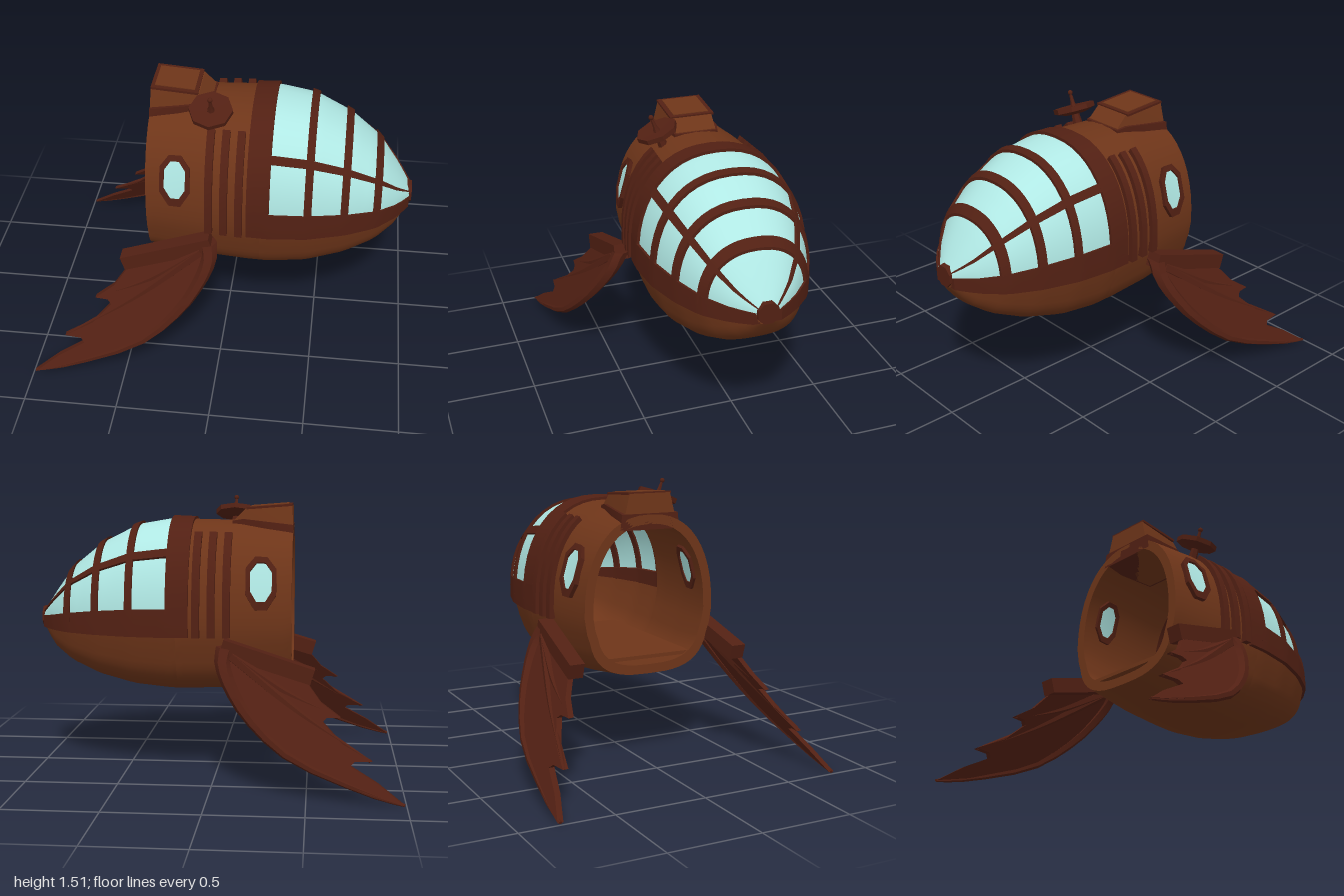
import * as THREE from 'three';
import { toCreasedNormals } from 'three/addons/utils/BufferGeometryUtils.js';

const mat = (color) => new THREE.MeshStandardMaterial({ color, side: THREE.DoubleSide });
const HULL = mat(0x6e3519), DARK = mat(0x522013), GLASS = mat(0xb0e8e4);

// Hull stations along its length: x, top, bottom, half width
const STATIONS = [
  [-0.41, 1.36, 0.51, 0.38], [-0.12, 1.385, 0.47, 0.41], [0.13, 1.39, 0.46, 0.43],
  [0.25, 1.395, 0.46, 0.435], [0.45, 1.36, 0.48, 0.415], [0.65, 1.26, 0.53, 0.355],
  [0.81, 1.13, 0.6, 0.275], [0.92, 0.98, 0.68, 0.165], [0.985, 0.88, 0.78, 0.06],
];
const MID = 0.84; // height of the hull's seam

function station(x) {
  let i = 0;
  while (i < STATIONS.length - 2 && x > STATIONS[i + 1][0]) i++;
  const a = STATIONS[i], b = STATIONS[i + 1];
  const k = THREE.MathUtils.clamp((x - a[0]) / (b[0] - a[0]), 0, 1);
  return a.map((v, j) => v + (b[j] - v) * k);
}

// Point on the hull at length x, angle t (0 = left side, PI/2 = top), raised by d
function hullPoint(x, t, d) {
  const [, top, bottom, w] = station(x);
  const c = Math.cos(t), s = Math.sin(t), W = w + d;
  const pow = (v, e) => Math.sign(v) * Math.abs(v) ** e;
  if (t < 0) return [x, MID + t * 0.6, W]; // straight skirt below the seam
  if (t <= Math.PI) return [x, MID + (top + d - MID) * pow(s, 0.87), W * pow(c, 0.87)];
  const tuck = 1 - 0.06 * Math.min(1, -s * 4);
  return [x, MID - (MID - bottom + d) * pow(-s, 0.667), W * tuck * pow(c, 0.667)];
}

// Move every vertex of a geometry by a rule
function warp(geo, rule, crease = 0.5) {
  const p = geo.attributes.position;
  for (let i = 0; i < p.count; i++) p.setXYZ(i, ...rule(p.getX(i), p.getY(i), p.getZ(i)));
  return toCreasedNormals(geo, crease);
}

function add(parent, name, geo, material) {
  const mesh = new THREE.Mesh(geo, material);
  mesh.name = name;
  parent.add(mesh);
  return mesh;
}

// Curved slab lying on the hull
function slab(x0, x1, t0, t1, inner, outer) {
  const nx = Math.max(1, Math.round((x1 - x0) / 0.04));
  const nt = Math.max(1, Math.round((t1 - t0) / 0.13));
  return warp(new THREE.BoxGeometry(1, 1, 1, nx, nt, 1), (x, y, z) => hullPoint(
    x0 + (x + 0.5) * (x1 - x0), t0 + (y + 0.5) * (t1 - t0), inner + (z + 0.5) * (outer - inner)));
}

const octagon = (C, w, h) => new C(
  [[0.4, 1], [1, 0.5], [1, -0.5], [0.4, -1], [-0.4, -1], [-1, -0.5], [-1, 0.5], [-0.4, 1]]
    .map(([x, y]) => new THREE.Vector2(-0.25 + x * w, 0.4 + y * h)));

// Porthole pieces laid on the hull
function porthole(shape, inner, outer) {
  const geo = new THREE.ExtrudeGeometry(shape, { depth: outer - inner, bevelEnabled: false });
  return warp(geo, (x, t, z) => hullPoint(x, t, inner + z));
}

// The wing lies in one sloping plane
const wingZ = (x, y) => 0.912 - 0.613 * y + 0.121 * x;
const v2 = (pts) => pts.map(([x, y]) => new THREE.Vector2(x, y));

// Tapered rod along a path in the wing plane
function rod(pts, r0, r1, sides = 6) {
  const curve = new THREE.SplineCurve(v2(pts));
  const n = pts.length > 2 ? 14 : 1;
  const geo = new THREE.CylinderGeometry(r1, r0, 1, sides, n, false, Math.PI / sides);
  return warp(geo, (x, y, z) => {
    const u = THREE.MathUtils.clamp(y + 0.5, 0, 1);
    const p = curve.getPoint(u), t = curve.getTangent(u);
    return [p.x + t.y * x, p.y - t.x * x, wingZ(p.x, p.y) + z];
  });
}

function buildWing() {
  const wing = new THREE.Group();
  wing.name = 'wing';
  const lead = [[-0.07, 0.74], [-0.06, 0.66], [-0.11, 0.54], [-0.22, 0.39], [-0.43, 0.22], [-0.8, 0.07], [-0.99, 0.015]];
  const trail = [[-0.86, 0.11], [-0.72, 0.19], [-0.74, 0.21], [-0.83, 0.21], [-0.68, 0.29], [-0.58, 0.39],
    [-0.6, 0.41], [-0.67, 0.41], [-0.57, 0.48], [-0.5, 0.57], [-0.52, 0.62], [-0.12, 0.76]];
  const skin = new THREE.ExtrudeGeometry(new THREE.Shape(v2([...lead, ...trail])), { depth: 0.03, bevelEnabled: false });
  add(wing, 'wingMembrane', warp(skin, (x, y, z) => [x, y, wingZ(x, y) + z - 0.015]), DARK);
  add(wing, 'wingLeadingSpar', rod(lead, 0.05, 0.008), DARK);
  add(wing, 'wingArm', rod([[-0.05, 0.745], [-0.525, 0.6]], 0.06, 0.058, 4), DARK);
  for (const tip of [[-0.66, 0.408], [-0.82, 0.208]])
    add(wing, 'wingFinger', rod([[-0.1, 0.7], [(tip[0] - 0.1) / 2, (tip[1] + 0.7) / 2 - 0.025], tip], 0.035, 0.007), DARK);
  return wing;
}

// Everything that appears on both sides
function buildSide(name) {
  const side = new THREE.Group();
  side.name = name;
  add(side, 'canopySill', slab(0.13, 0.985, -0.09, 0.13, -0.03, 0.015), DARK);
  add(side, 'canopyRail', slab(0.24, 0.985, 0.65, 0.75, -0.02, 0.015), DARK);
  for (const x of [-0.07, 0.01, 0.09])
    add(side, 'hullRib', slab(x - 0.02, x + 0.02, -0.09, 1.0, -0.02, 0.025), DARK);
  const frame = octagon(THREE.Shape, 0.08, 0.27);
  frame.holes.push(octagon(THREE.Path, 0.057, 0.2));
  add(side, 'portholeFrame', porthole(frame, -0.065, 0.022), DARK);
  add(side, 'portholeGlass', porthole(octagon(THREE.Shape, 0.058, 0.205), -0.058, 0.012), GLASS);
  side.add(buildWing());
  return side;
}

// Raised hatch on the roof, narrowing upward and forward
function buildHatch(parent) {
  const body = new THREE.Shape(v2([[-0.41, 1.28], [-0.09, 1.28], [-0.09, 1.39], [-0.15, 1.45], [-0.405, 1.47]]));
  const rim = new THREE.Shape(v2([[-0.41, 1.28], [-0.08, 1.28], [-0.08, 1.385], [-0.14, 1.395], [-0.41, 1.365]]));
  const shaped = (shape, grow) => warp(
    new THREE.ExtrudeGeometry(shape, { depth: 2, bevelEnabled: false }).translate(0, 0, -1), (x, y, z) => {
      const half = 0.165 - Math.max(0, y - 1.33) * 0.33 - Math.max(0, x + 0.2) * 0.3;
      return [x, y, z * (half + grow)];
    });
  add(parent, 'hatchBody', shaped(body, 0), HULL);
  add(parent, 'hatchCollar', shaped(rim, 0.01), DARK);
  const lid = new THREE.BoxGeometry(0.25, 0.012, 0.25);
  lid.rotateZ(-0.078).translate(-0.28, 1.462, 0);
  add(parent, 'hatchLid', lid, DARK);
  const panel = new THREE.BoxGeometry(0.21, 0.012, 0.2);
  panel.rotateZ(-0.078).translate(-0.28, 1.466, 0);
  add(parent, 'hatchPanel', panel, HULL);
}

// Tilted dish with a small antenna
function buildDish() {
  const dish = new THREE.Group();
  dish.name = 'dish';
  const lathe = (pts, sides) => toCreasedNormals(new THREE.LatheGeometry(v2(pts), sides), 0.4);
  add(dish, 'dishBowl', lathe([[0, -0.03], [0.06, -0.03], [0.115, -0.012], [0.115, 0.015], [0.1, 0.015], [0, 0]], 8), DARK);
  add(dish, 'dishStem', lathe([[0.03, -0.12], [0.02, -0.02]], 6), DARK);
  add(dish, 'antenna', lathe([[0.022, 0], [0.012, 0.03], [0.007, 0.085], [0, 0.085]], 6), DARK);
  add(dish, 'antennaTip', new THREE.SphereGeometry(0.014, 8, 6).translate(0, 0.088, 0), DARK);
  dish.position.set(-0.075, 1.42, 0.225);
  dish.rotation.x = 0.37;
  return dish;
}

export function createModel() {
  const model = new THREE.Group();
  model.name = 'flyingPod';

  // Open-backed shell, keel under the canopy, cabin floor
  add(model, 'rearHull', slab(-0.41, 0.2, 0, Math.PI * 2, -0.05, 0), HULL);
  add(model, 'keel', slab(0.2, 0.985, Math.PI, Math.PI * 2, -0.03, 0), HULL);
  add(model, 'cabinFloor', new THREE.BoxGeometry(0.9, 0.02, 0.5).translate(0.05, 0.6, 0), HULL);

  // Canopy
  add(model, 'canopyGlass', slab(0.2, 0.985, 0, Math.PI, -0.01, 0), GLASS);
  add(model, 'canopyFrontFrame', slab(0.13, 0.25, 0, Math.PI, -0.03, 0.015), DARK);
  for (const x of [0.45, 0.64, 0.81])
    add(model, 'canopyHoop', slab(x - 0.02, x + 0.02, 0, Math.PI, -0.02, 0.015), DARK);
  const cap = new THREE.CylinderGeometry(0.06, 0.066, 0.04, 8, 1, false, Math.PI / 8);
  cap.rotateZ(-Math.PI / 2).translate(0.978, 0.84, 0);
  add(model, 'noseCap', toCreasedNormals(cap, 0.4), DARK);

  // Roof fittings
  buildHatch(model);
  model.add(buildDish());

  // Left and right sides
  model.add(buildSide('nearSide'));
  const far = buildSide('farSide');
  far.scale.z = -1;
  model.add(far);
  return model;
}
